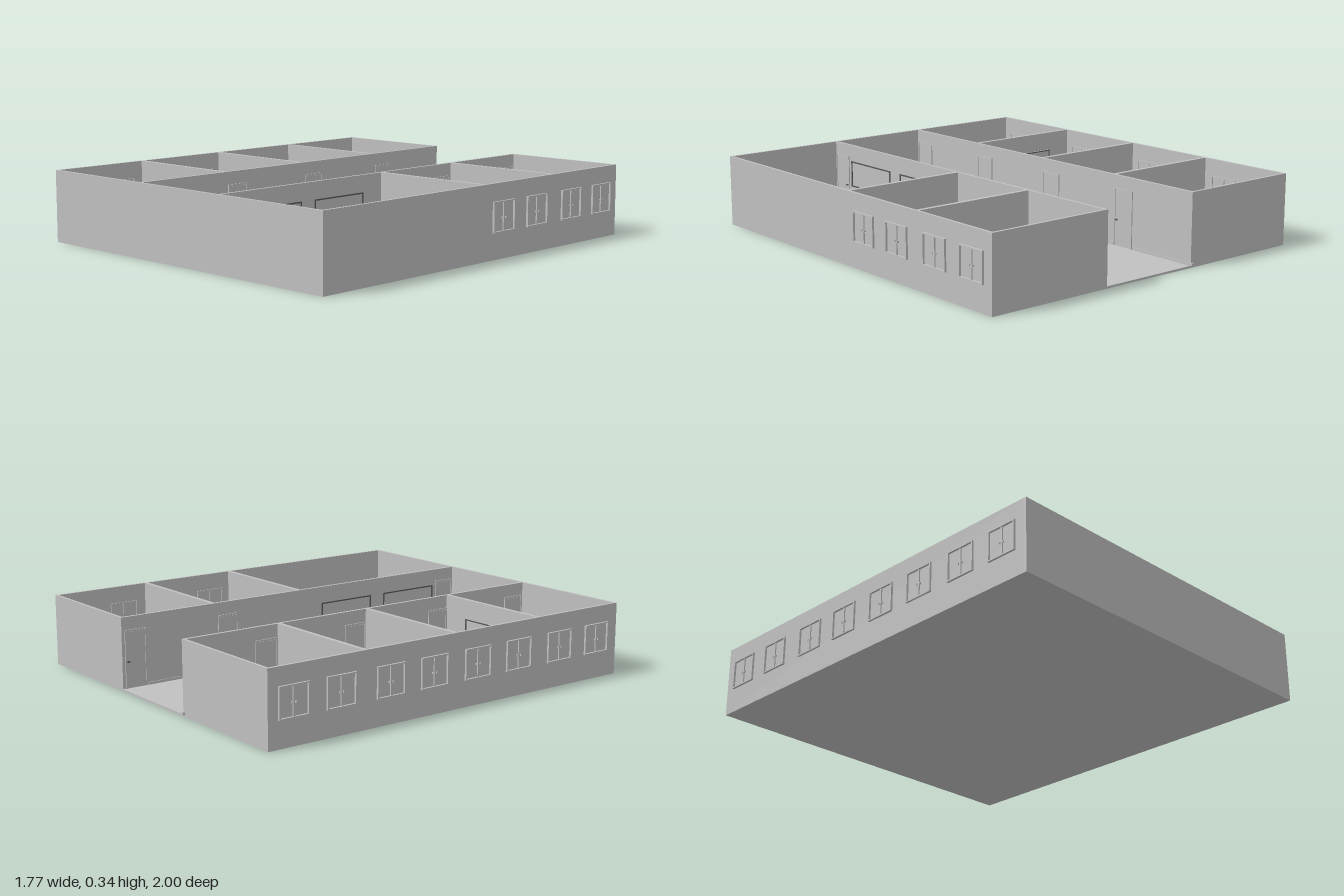
import * as THREE from 'three';

const grey = new THREE.MeshStandardMaterial({ color: 0xc0c0c0 });
grey.name = 'plaster grey';
const dark = new THREE.MeshStandardMaterial({ color: 0x585858 });
dark.name = 'dark grey';

const H = 0.34;      // wall height
const FLOOR = 0.01;  // floor thickness

// Box given by its limits on each axis
function box(parent, name, [x0, x1], [y0, y1], [z0, z1], mat = grey) {
  const mesh = new THREE.Mesh(new THREE.BoxGeometry(x1 - x0, y1 - y0, z1 - z0), mat);
  mesh.position.set((x0 + x1) / 2, (y0 + y1) / 2, (z0 + z1) / 2);
  mesh.name = name;
  parent.add(mesh);
  return mesh;
}

function group(parent, name) {
  const g = new THREE.Group();
  g.name = name;
  parent.add(g);
  return g;
}

// Rectangular frame lying in the zy plane, spanning x
function frame(parent, name, x, [y0, y1], [z0, z1], t, mat) {
  box(parent, name + 'Bottom', x, [y0, y0 + t], [z0, z1], mat);
  box(parent, name + 'Top', x, [y1 - t, y1], [z0, z1], mat);
  box(parent, name + 'Side', x, [y0 + t, y1 - t], [z0, z0 + t], mat);
  box(parent, name + 'Side', x, [y0 + t, y1 - t], [z1 - t, z1], mat);
}

// Two-sash window showing on both faces of an outer wall
function outerWindow(parent, side, z) {
  const g = group(parent, 'window');
  const span = (a, b) => (side > 0 ? [a, b] : [-b, -a]);
  frame(g, 'windowFrame', span(0.857, 0.885), [0.12, 0.26], [z - 0.075, z + 0.075], 0.006);
  box(g, 'mullion', span(0.858, 0.881), [0.126, 0.254], [z - 0.004, z + 0.004]);
  for (const s of [-1, 1]) {
    box(g, 'windowHandle', span(0.858, 0.883), [0.18, 0.188], [z + s * 0.01 - 0.002, z + s * 0.01 + 0.002]);
  }
}

// Door leaf, frame and handles through a corridor wall
function door(parent, x, z0, z1, handleZ) {
  const g = group(parent, 'door');
  box(g, 'doorLeaf', [x - 0.009, x + 0.009], [FLOOR, 0.27], [z0 + 0.006, z1 - 0.006]);
  for (const z of [z0, z1 - 0.006]) box(g, 'doorJamb', [x - 0.012, x + 0.012], [FLOOR, 0.28], [z, z + 0.006]);
  box(g, 'doorHead', [x - 0.012, x + 0.012], [0.274, 0.28], [z0 + 0.006, z1 - 0.006]);
  box(g, 'doorHandle', [x - 0.016, x + 0.016], [0.13, 0.136], [handleZ - 0.007, handleZ + 0.007], dark);
}

function createModel() {
  const model = new THREE.Group();
  model.name = 'schoolBuilding';

  box(model, 'floor', [-0.875, 0.875], [0, FLOOR], [-0.99, 1]);

  // Outer walls, with the corridor open at the back
  const walls = group(model, 'walls');
  const wallY = [FLOOR, H];
  box(walls, 'frontWall', [-0.875, 0.875], wallY, [0.987, 1]);
  for (const s of [-1, 1]) {
    const span = (a, b) => (s > 0 ? [a, b] : [-b, -a]);
    box(walls, 'sideWall', span(0.862, 0.875), wallY, [-0.977, 0.987]);
    box(walls, 'backWall', span(0.253, 0.875), wallY, [-0.99, -0.977]);
    box(walls, 'corridorWall', span(0.253, 0.267), wallY, [-0.977, 0.987]);
    // Room partitions: four rooms on the right side, three on the left
    for (const z of s < 0 ? [-0.495, 0, 0.495] : [-0.495, 0]) {
      box(walls, 'partition', span(0.267, 0.862), wallY, [z - 0.01, z + 0.01]);
    }
  }

  // Outer windows
  const windowZ = [-0.865, -0.625, -0.365, -0.125, 0.125, 0.37, 0.625, 0.865];
  windowZ.forEach((z, i) => {
    outerWindow(model, -1, z);
    if (i < 4) outerWindow(model, 1, z);
  });

  // Doors
  for (const z of [-0.51, -0.015, 0.485, 0.98]) door(model, -0.26, z - 0.115, z, z - 0.015);
  for (const z of [-0.975, -0.475]) door(model, 0.26, z, z + 0.11, z + 0.015);
  door(model, 0.26, 0.87, 0.98, 0.885);

  // Skirting between the doors on the corridor sides
  for (const [z0, z1] of [[-1, -0.63], [-0.505, -0.135], [-0.01, 0.365], [0.49, 0.86]]) {
    box(model, 'skirting', [-0.264, -0.249], [FLOOR, 0.022], [z0, z1]);
  }
  for (const [z0, z1] of [[-0.862, -0.478], [-0.362, 0.867]]) {
    box(model, 'skirting', [0.249, 0.264], [FLOOR, 0.022], [z0, z1]);
  }

  // Inner windows between the large room and the corridor
  for (const z of [[0.13, 0.44], [0.52, 0.85]]) {
    frame(group(model, 'innerWindow'), 'innerWindowFrame', [0.249, 0.271], [0.13, 0.26], z, 0.006, dark);
  }

  // Wall board in the third room
  const board = group(model, 'wallBoard');
  box(board, 'boardPanel', [-0.73, -0.41], [0.12, 0.25], [0.479, 0.485]);
  for (const y of [0.12, 0.245]) box(board, 'boardRail', [-0.73, -0.41], [y, y + 0.005], [0.475, 0.48], dark);
  for (const x of [-0.73, -0.415]) box(board, 'boardStile', [x, x + 0.005], [0.12, 0.25], [0.475, 0.48], dark);

  // Long low bench with raised uprights and console
  const machine = group(model, 'exerciseBench');
  box(machine, 'deck', [-0.64, -0.55], [0.015, 0.035], [0.02, 0.26], dark);
  for (const x of [-0.64, -0.558]) {
    box(machine, 'upright', [x, x + 0.008], [0.035, 0.15], [0.03, 0.045], dark);
    box(machine, 'handrail', [x, x + 0.008], [0.115, 0.123], [0.045, 0.12], dark);
    for (const z of [0.03, 0.24]) box(machine, 'foot', [x, x + 0.008], [FLOOR, 0.015], [z, z + 0.012], dark);
  }
  box(machine, 'console', [-0.632, -0.558], [0.125, 0.16], [0.03, 0.045], dark);

  return model;
}

export { createModel };
